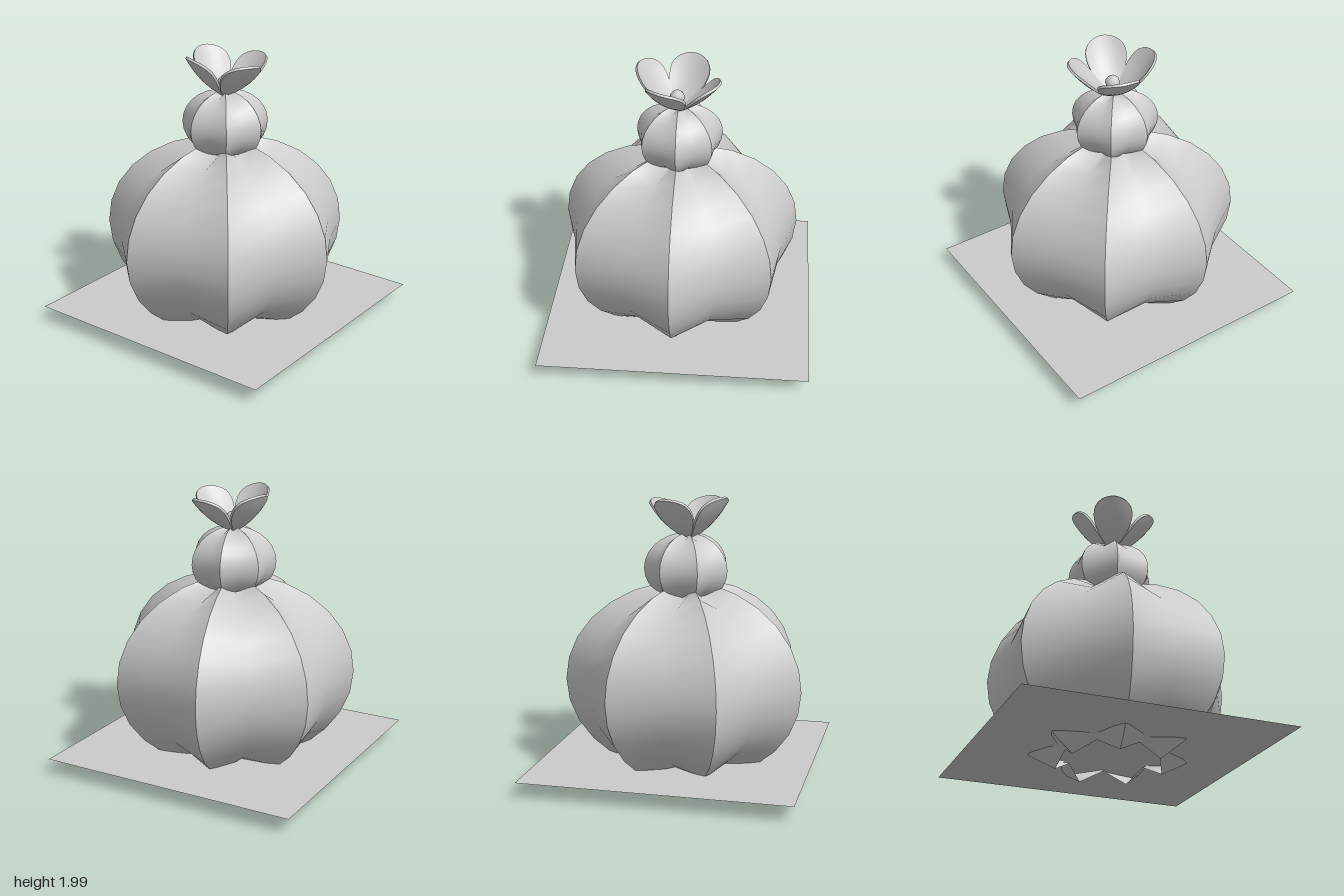
import * as THREE from 'three';
import { mergeGeometries, toCreasedNormals } from 'three/addons/utils/BufferGeometryUtils.js';

const RIBS = 7;
const VALLEY = 0.87; // valley radius relative to the ridge
const AXIS_Z = 0.024;

// One panel from ridge to valley to ridge; its outer borders stay sharp
function ribPanel(index, radius, height) {
  const pos = [], faces = [];
  const rows = 12, step = Math.PI / 14;
  for (let j = 0; j <= rows; j++) {
    const lat = (j - 5) * step;
    for (let i = 0; i < 3; i++) {
      const a = ((index + i / 2) / RIBS) * Math.PI * 2;
      const s = i === 1 ? VALLEY : 1;
      const r = radius * s * Math.cos(lat);
      pos.push(r * Math.cos(a), height * s * Math.sin(lat), r * Math.sin(a));
      if (j < rows && i < 2) {
        const p = j * 3 + i;
        faces.push(p, p + 3, p + 1, p + 1, p + 3, p + 4);
      }
    }
  }
  const g = new THREE.BufferGeometry();
  g.setAttribute('position', new THREE.Float32BufferAttribute(pos, 3));
  g.setIndex(faces);
  g.computeVertexNormals();
  return g;
}

function ribbedBall(radius, height) {
  const panels = [];
  for (let k = 0; k < RIBS; k++) panels.push(ribPanel(k, radius, height));
  return mergeGeometries(panels);
}

// Thin cupped petal rising outward along +x
function petalGeometry() {
  const g = new THREE.BoxGeometry(1, 1, 2, 12, 1, 8);
  const p = g.attributes.position;
  const slope = Math.SQRT1_2;
  for (let i = 0; i < p.count; i++) {
    const u = Math.sin((p.getX(i) + 0.5) * Math.PI / 2);
    const v = p.getZ(i);
    const half = u < 0.66
      ? 0.02 + 0.123 * Math.sin((u / 0.66) * Math.PI / 2)
      : Math.max(0.012, 0.143 * Math.sqrt(Math.max(0, 1 - ((u - 0.66) / 0.34) ** 2)));
    const lift = p.getY(i) * 0.018 + 0.04 * (v * half / 0.143) ** 2 - 0.025 * Math.sin(u * Math.PI);
    p.setXYZ(i, 0.015 + 0.285 * u - lift * slope, 0.275 * u + lift * slope, v * half);
  }
  return toCreasedNormals(g, 0.7);
}

export function createModel() {
  const model = new THREE.Group();
  const material = new THREE.MeshStandardMaterial({ color: 0xcccccc, side: THREE.DoubleSide });
  const add = (parent, name, geometry, x = 0, y = 0, z = 0) => {
    const mesh = new THREE.Mesh(geometry, material);
    mesh.name = name;
    mesh.position.set(x, y, z);
    parent.add(mesh);
    return mesh;
  };

  // Ground sheet crossing the lower ribs
  add(model, 'groundSheet', new THREE.PlaneGeometry(1.91, 1.91).rotateX(-Math.PI / 2), 0, 0.11, 0);

  // Ribbed cactus body, open underneath, and the smaller ball on top
  add(model, 'body', ribbedBall(0.88, 0.727), 0, 0.655, AXIS_Z);
  add(model, 'upperBall', ribbedBall(0.31, 0.256), 0, 1.47, AXIS_Z);

  // Slightly tilted flower
  const flower = new THREE.Group();
  flower.name = 'flower';
  flower.position.set(0, 1.69, 0.04);
  flower.rotation.set(-0.05, 0, -0.06);
  model.add(flower);
  const petal = petalGeometry();
  for (let k = 0; k < 4; k++) {
    add(flower, 'petal', petal).rotation.y = -(THREE.MathUtils.degToRad(21) + k * Math.PI / 2);
  }
  add(flower, 'flowerStem', new THREE.CylinderGeometry(0.015, 0.02, 0.08, 7), 0, 0.03, 0);
  add(flower, 'flowerCentre', new THREE.SphereGeometry(0.053, 8, 6), 0, 0.085, 0);

  return model;
}
